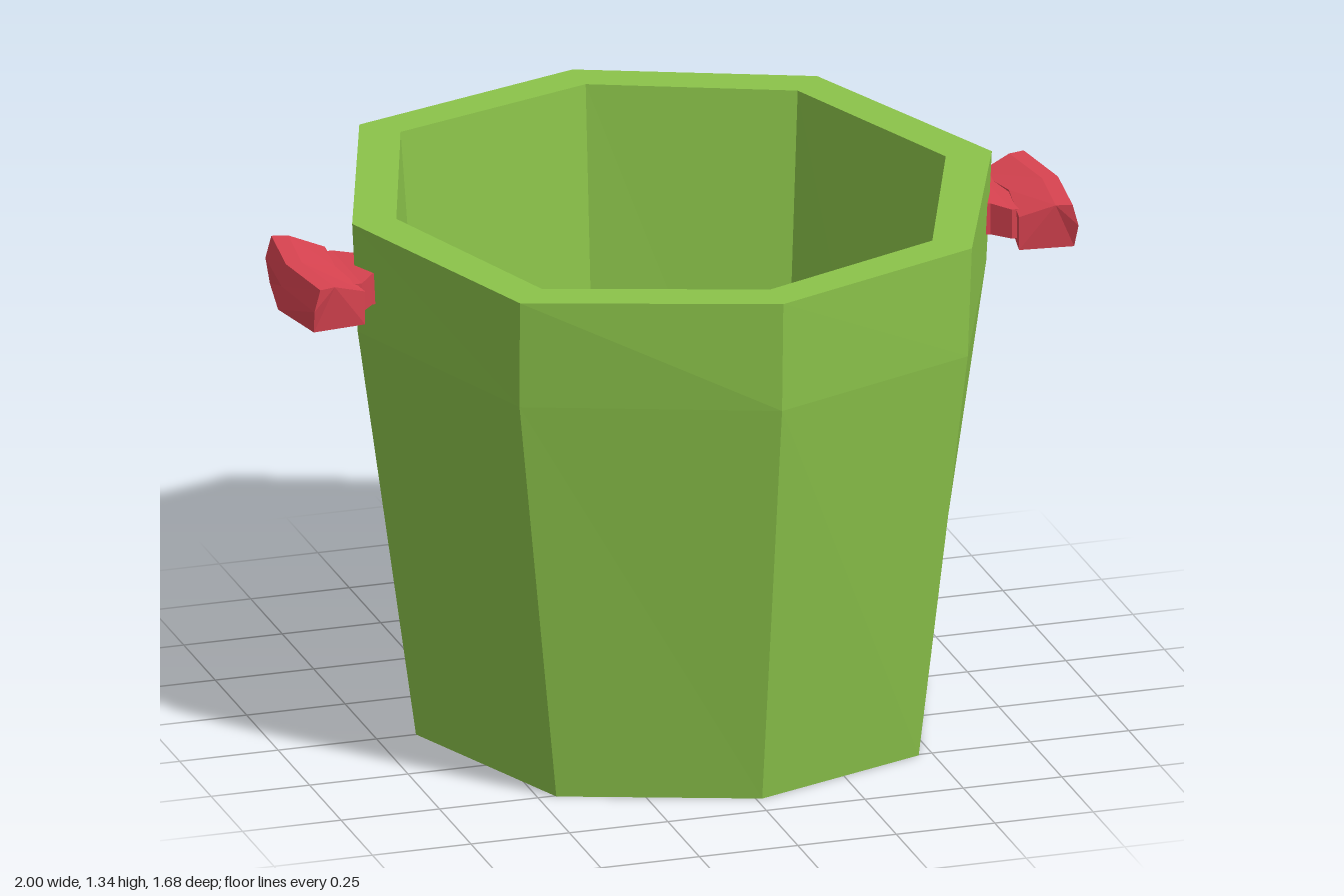
import * as THREE from 'three';

const green = new THREE.MeshStandardMaterial({ color: 0x8bc34a, flatShading: true });
const red = new THREE.MeshStandardMaterial({ color: 0xd84350, flatShading: true });

// Joins rings of [x, y, z] points into a closed, faceted solid with capped ends
function loft(rings, material, name) {
  const pos = [];
  const tri = (a, b, c) => pos.push(...a, ...b, ...c);
  const n = rings[0].length;
  for (let r = 0; r < rings.length - 1; r++) {
    for (let i = 0; i < n; i++) {
      const j = (i + 1) % n;
      const a = rings[r], b = rings[r + 1];
      tri(a[i], b[i], b[j]);
      tri(a[i], b[j], a[j]);
    }
  }
  const first = rings[0], last = rings[rings.length - 1];
  for (let i = 1; i < n - 1; i++) {
    tri(first[0], first[i], first[i + 1]);
    tri(last[0], last[i + 1], last[i]);
  }
  const geometry = new THREE.BufferGeometry();
  geometry.setAttribute('position', new THREE.Float32BufferAttribute(pos, 3));
  geometry.computeVertexNormals();
  const mesh = new THREE.Mesh(geometry, material);
  mesh.name = name;
  return mesh;
}

// Slightly uneven octagon, from its right, front and left corners
function octagon(y, xr, [xa, za], [xf, zf], [xb, zb], xl, zBack = zf) {
  return [[xr, y, 0], [xa, y, za], [xf, y, zf], [xb, y, zb], [xl, y, 0],
    [xb, y, -zb], [xf, y, -zBack], [xa, y, -za]];
}

function createHandle(name) {
  const handle = new THREE.Group();
  handle.name = name;

  // Stem flaring out of the bucket wall
  const stemRing = (x, y0, y1, z) => [[x, y1, z], [x, y1, -z], [x, y0, -z], [x, y0, z]];
  handle.add(loft([
    stemRing(0.75, 1.155, 1.235, 0.07),
    stemRing(0.785, 1.155, 1.235, 0.075),
    stemRing(0.825, 1.155, 1.23, 0.118),
    stemRing(0.88, 1.155, 1.23, 0.118),
  ], red, 'handleStem'));

  // Bent grip: bevelled section, with ends cut at a slant
  const end = [[0.915, 1.255, 0.185], [0.955, 1.255, 0.195], [0.97, 1.2, 0.195],
    [0.965, 1.14, 0.175], [0.83, 1.14, 0.16], [0.83, 1.225, 0.16]];
  const middle = [[0.94, 1.255, 0], [0.98, 1.255, 0], [0.992, 1.2, 0],
    [1.0, 1.14, 0], [0.86, 1.14, 0], [0.855, 1.235, 0]];
  handle.add(loft([end.map(([x, y, z]) => [x, y, -z]), middle, end], red, 'handleGrip'));
  return handle;
}

export function createModel() {
  const model = new THREE.Group();
  model.name = 'bucket';

  // Body: outside wall upwards, over the rim, then down to the inner floor
  model.add(loft([
    octagon(0, 0.64, [0.465, 0.505], [0.015, 0.67], [-0.455, 0.505], -0.65, 0.695),
    octagon(1.06, 0.798, [0.556, 0.61], [0.015, 0.828], [-0.582, 0.61], -0.798),
    octagon(1.34, 0.812, [0.565, 0.615], [0.015, 0.838], [-0.59, 0.638], -0.812),
    octagon(1.34, 0.695, [0.49, 0.535], [0.015, 0.733], [-0.51, 0.56], -0.70),
    octagon(0.12, 0.59, [0.43, 0.47], [0.013, 0.637], [-0.445, 0.487], -0.60),
  ], green, 'bucketBody'));

  // Side handles
  const left = createHandle('leftHandle');
  const right = createHandle('rightHandle');
  right.rotation.y = Math.PI;
  model.add(left, right);
  return model;
}
